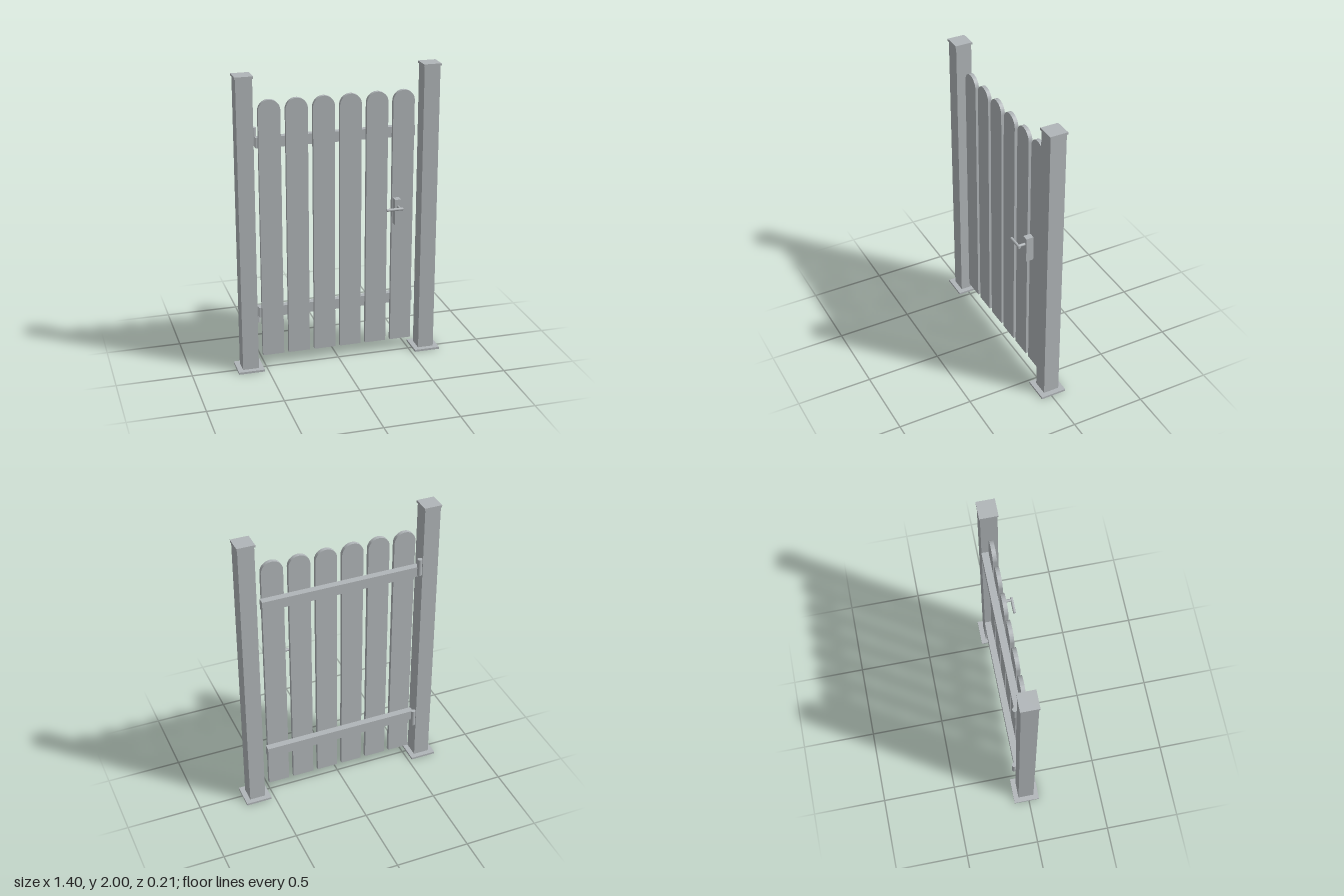
import * as THREE from 'three';
import { toCreasedNormals } from 'three/addons/utils/BufferGeometryUtils.js';

export function createModel() {
  const gate = new THREE.Group();
  gate.name = 'gardenGate';
  const metal = new THREE.MeshStandardMaterial({ color: 0xb0b5b8 });
  metal.name = 'grey metal';

  function add(name, geometry, x = 0, y = 0, z = 0) {
    const mesh = new THREE.Mesh(geometry, metal);
    mesh.name = name;
    mesh.position.set(x, y, z);
    gate.add(mesh);
    return mesh;
  }

  // Box given by its lower and upper limits on each axis
  function box(name, [x0, x1], [y0, y1], [z0, z1]) {
    return add(name, new THREE.BoxGeometry(x1 - x0, y1 - y0, z1 - z0),
      (x0 + x1) / 2, (y0 + y1) / 2, (z0 + z1) / 2);
  }

  // Posts with foot plates and caps
  const postZ = -0.0155;
  for (const [side, x] of [['right', -0.613], ['left', 0.613]]) {
    const block = (name, w, y0, y1) => box(side + name, [x - w / 2, x + w / 2],
      [y0, y1], [postZ - w / 2, postZ + w / 2]);
    block('FootPlate', 0.175, 0, 0.014);
    block('Post', 0.107, 0.014, 1.985);
    block('PostCap', 0.118, 1.985, 2);
  }

  // Six round-topped pickets
  const r = 0.072, bottom = 0.082, shoulder = 1.76;
  const outline = new THREE.Shape();
  outline.moveTo(-r, bottom);
  outline.lineTo(r, bottom);
  outline.lineTo(r, shoulder);
  outline.absarc(0, shoulder, r, 0, Math.PI, false);
  outline.closePath();
  const picket = toCreasedNormals(new THREE.ExtrudeGeometry(outline,
    { depth: 0.026, bevelEnabled: false, curveSegments: 24 }), 0.6);
  for (let i = 0; i < 6; i++) add('picket' + (i + 1), picket, -0.447 + i * 0.1775, 0, -0.03);

  // Cross rails behind the pickets
  box('upperRail', [-0.532, 0.527], [1.515, 1.584], [-0.075, -0.03]);
  box('lowerRail', [-0.532, 0.527], [0.346, 0.416], [-0.075, -0.03]);

  // Hinge barrels
  const barrel = new THREE.CylinderGeometry(0.016, 0.016, 0.117, 24);
  add('upperHinge', barrel, -0.534, 1.583, -0.075);
  add('lowerHinge', barrel, -0.534, 0.358, -0.075);

  // Lock case with spindle and lever
  box('lockCase', [0.373, 0.415], [0.935, 1.109], [-0.004, 0.047]);
  const spindle = new THREE.CylinderGeometry(0.0095, 0.0095, 0.05, 20).rotateX(Math.PI / 2);
  add('handleSpindle', spindle, 0.395, 1.06, 0.068);
  const lever = new THREE.CylinderGeometry(0.0095, 0.0095, 0.111, 20).rotateZ(Math.PI / 2);
  add('handleLever', lever, 0.357, 1.06, 0.093);

  return gate;
}
